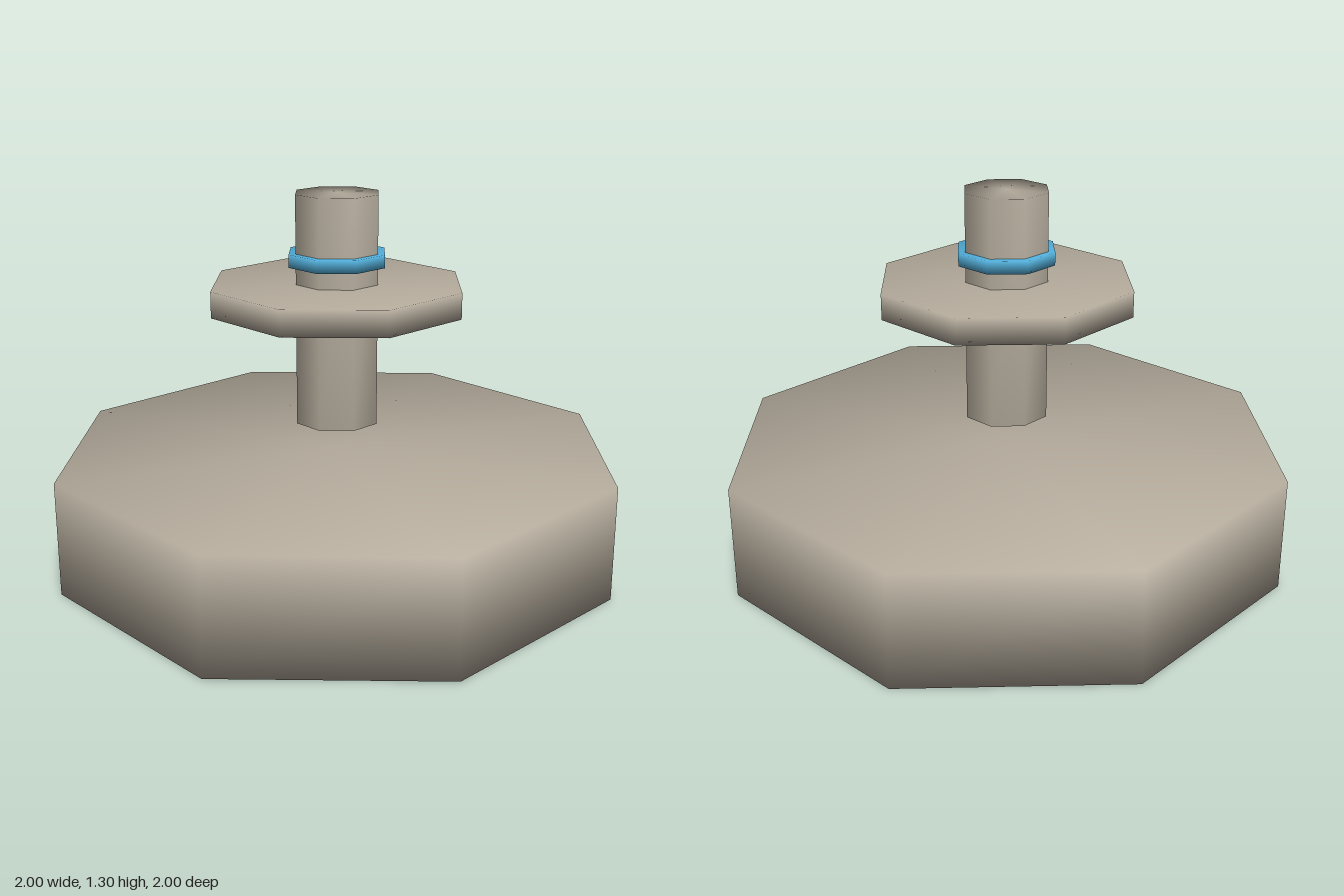
import * as THREE from 'three';
import { mergeVertices } from 'three/addons/utils/BufferGeometryUtils.js';

const stone = new THREE.MeshStandardMaterial({ name: 'warm grey', color: 0xb3aa9b });
const blue = new THREE.MeshStandardMaterial({ name: 'blue', color: 0x52add8 });

// Solid octagonal disc between two heights, with normals shared across its edges
function disc(name, radius, bottom, top, material) {
  const cylinder = new THREE.CylinderGeometry(radius, radius, top - bottom, 8);
  cylinder.deleteAttribute('normal');
  cylinder.deleteAttribute('uv');
  const geometry = mergeVertices(cylinder, 1e-4);
  geometry.computeVertexNormals();
  const mesh = new THREE.Mesh(geometry, material);
  mesh.name = name;
  mesh.position.y = (bottom + top) / 2;
  return mesh;
}

export function createModel() {
  const model = new THREE.Group();
  model.name = 'floatingPedestal';
  model.add(
    disc('base', 1, 0, 0.4, stone),
    // The post hovers above the base
    disc('post', 0.15, 0.505, 1.305, stone),
    disc('plate', 0.45, 0.91, 1.0, stone),
    disc('band', 0.175, 1.06, 1.105, blue),
  );
  return model;
}
